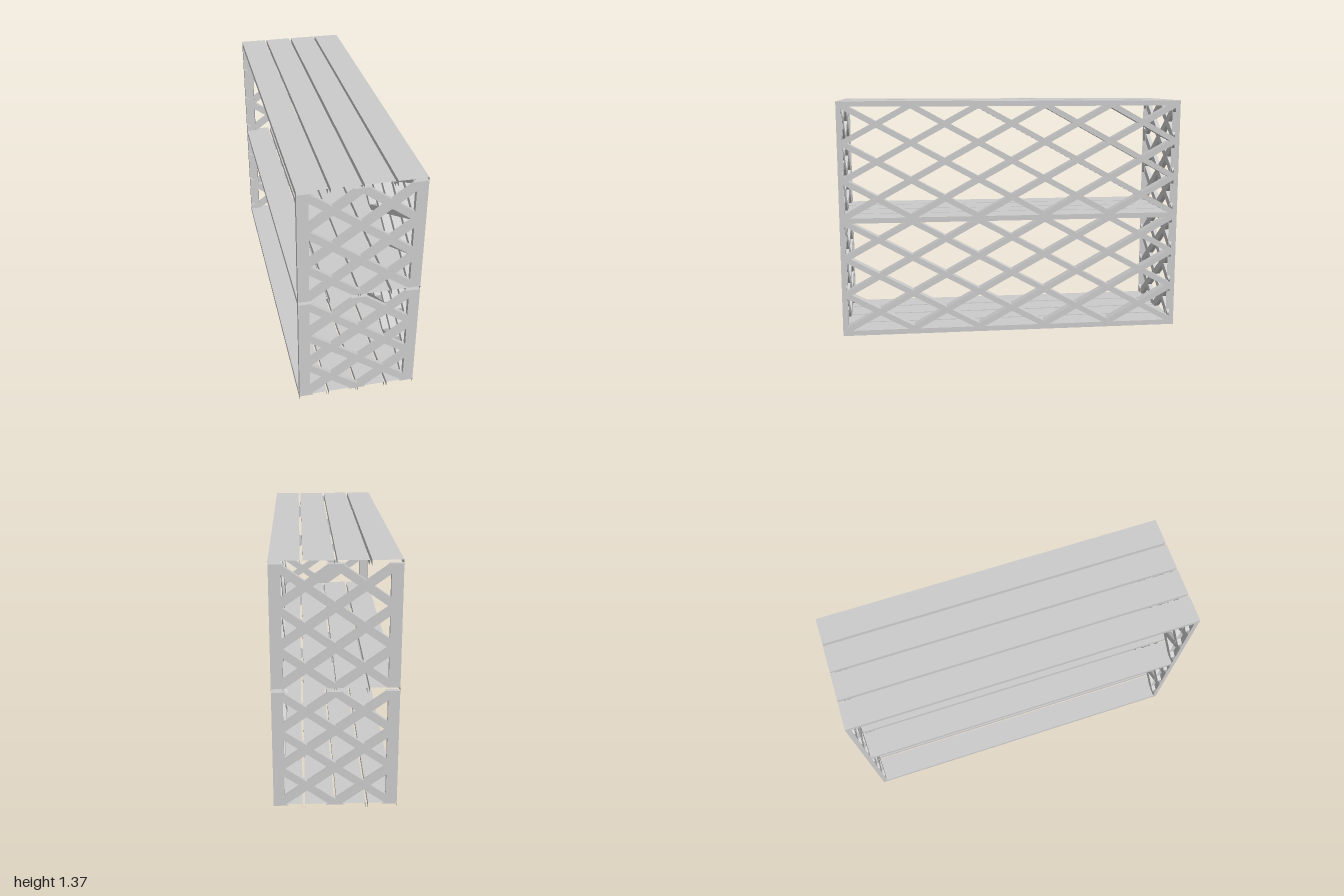
import * as THREE from 'three';
import { mergeGeometries } from 'three/addons/utils/BufferGeometryUtils.js';

const HALF_X = 0.33, HALF_Z = 1, RISE = 0.1075;
const solid = new THREE.MeshStandardMaterial({ color: 0xcccccc, flatShading: true });
const sheet = new THREE.MeshStandardMaterial({ color: 0xcccccc, flatShading: true, side: THREE.DoubleSide });

// Open channel along z: a flat web facing +y with two flanges hanging down
function channelGeometry(width, depth, length) {
  const web = new THREE.PlaneGeometry(width, length).rotateX(-Math.PI / 2);
  const flanges = [-1, 1].map((s) =>
    new THREE.PlaneGeometry(length, depth).rotateY(s * Math.PI / 2).translate(s * width / 2, -depth / 2, 0));
  return mergeGeometries([web, ...flanges]);
}

// Cut a polygon by the half plane axis * sign <= limit
function cut(points, axis, sign, limit) {
  const out = [];
  points.forEach((p, i) => {
    const q = points[(i + 1) % points.length];
    const dp = sign * p[axis] - limit, dq = sign * q[axis] - limit;
    if (dp <= 0) out.push(p);
    if (dp * dq < 0) out.push(p.clone().lerp(q, dp / (dp - dq)));
  });
  return out;
}

// Crossed slats trimmed to a rectangle, lying in the xy plane
function latticeGeometry({ half, bottom, top, step, offset, width, depth }) {
  const slope = RISE / step;
  const h = width / 2 * Math.hypot(1, slope);
  const crossing = top - 0.005;
  const slats = [];
  for (const dir of [-1, 1]) {
    for (let k = -12; k <= 12; k++) {
      const y = (x) => crossing + dir * slope * (x - offset - 2 * k * step);
      let poly = [[-2, -h], [2, -h], [2, h], [-2, h]].map(([x, dy]) => new THREE.Vector2(x, y(x) + dy));
      poly = cut(poly, 'x', 1, half);
      poly = cut(poly, 'x', -1, half);
      poly = cut(poly, 'y', 1, top);
      poly = cut(poly, 'y', -1, -bottom);
      if (poly.length < 3 || Math.abs(THREE.ShapeUtils.area(poly)) < 2e-4) continue;
      slats.push(new THREE.ExtrudeGeometry(new THREE.Shape(poly), { depth, bevelEnabled: false }));
    }
  }
  return mergeGeometries(slats);
}

export function createModel() {
  const model = new THREE.Group();
  const add = (name, geometry, material) => {
    const mesh = new THREE.Mesh(geometry, material);
    mesh.name = name;
    model.add(mesh);
    return mesh;
  };

  // Three shelves of four planks
  const plank = channelGeometry(0.155, 0.03, 2 * HALF_Z);
  ['bottom', 'middle', 'top'].forEach((level, i) => {
    for (let j = 0; j < 4; j++) {
      add(`${level}ShelfPlank${j + 1}`, plank, sheet)
        .position.set((j - 1.5) * 0.1683, [0.03, 0.7, 1.368][i], 0);
    }
  });

  // Two storeys of posts and lattice panels
  [['lower', 0.022, 0.68], ['upper', 0.7, 1.35]].forEach(([storey, bottom, top]) => {
    const height = top - bottom;
    const post = channelGeometry(0.06, 0.028, height).rotateX(Math.PI / 2);
    const end = latticeGeometry({
      half: HALF_X, bottom, top, step: 0.15, offset: 0, width: 0.043, depth: 0.025,
    });
    for (const s of [-1, 1]) {
      const face = s > 0 ? 'Front' : 'Back';
      for (const x of [-0.3, 0.3]) {
        const mesh = add(`${storey}${face}${x > 0 ? 'Left' : 'Right'}Post`, post, sheet);
        mesh.position.set(x, (bottom + top) / 2, s * HALF_Z);
        if (s < 0) mesh.rotation.y = Math.PI;
      }
      add(`${storey}${face}Lattice`, end, solid).position.z = s > 0 ? HALF_Z - 0.025 : -HALF_Z;
    }

    // Long lattice closing the left side only
    const side = latticeGeometry({
      half: HALF_Z, bottom, top, step: 0.195, offset: 0.195, width: 0.032, depth: 0.06,
    });
    const mesh = add(`${storey}SideLattice`, side, solid);
    mesh.rotation.y = Math.PI / 2;
    mesh.position.x = HALF_X - 0.06;
  });
  return model;
}
